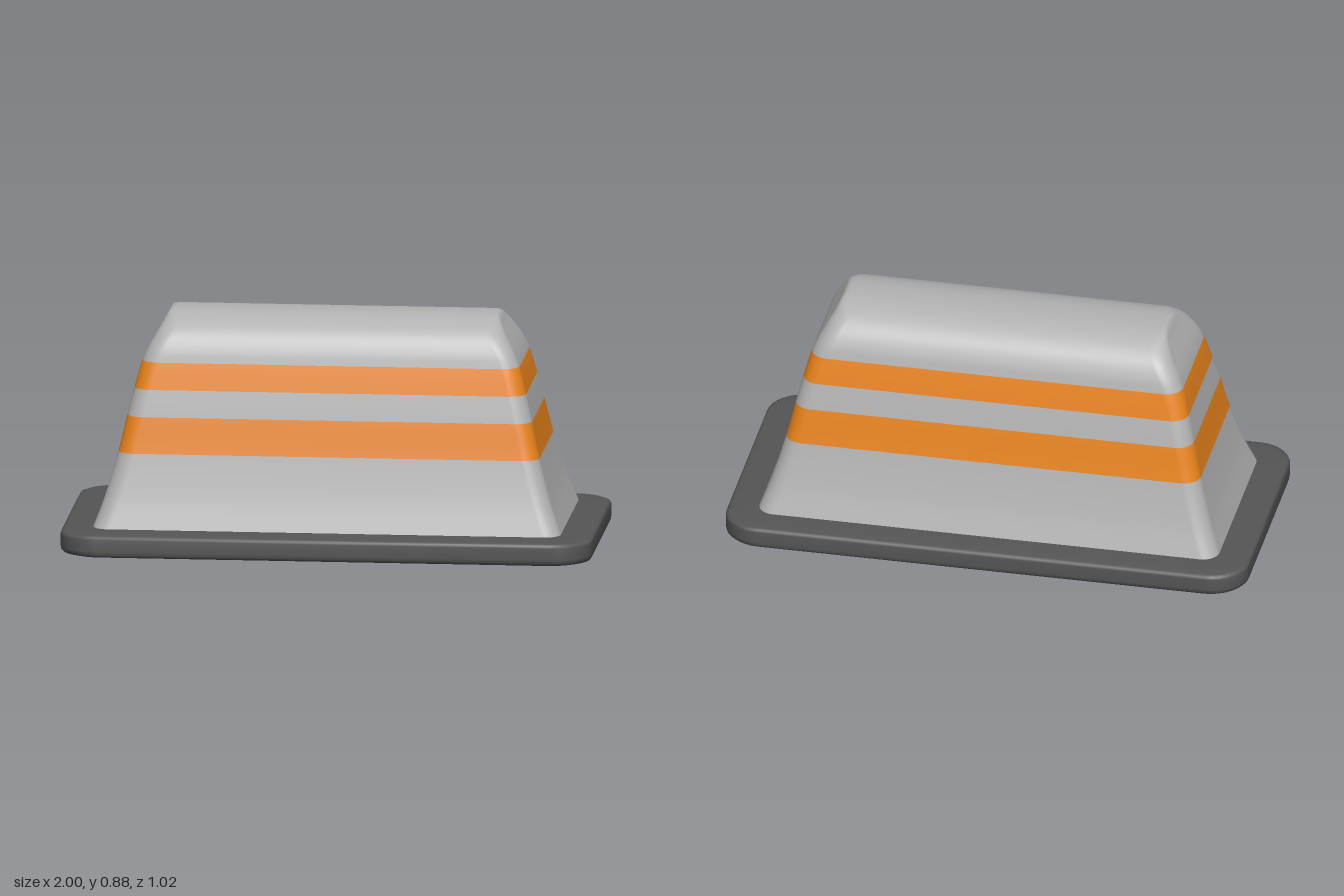
import * as THREE from 'three';

const CORNER_STEPS = 8;
const LOOP = 4 * (CORNER_STEPS + 1);

// Rounded-rectangle loop of half-extents hx, hz at height y, as [x, y, z] points
function ring(hx, y, hz, radius) {
  const r = Math.min(radius, hz * 0.4, hx * 0.4);
  const pts = [];
  for (let c = 0; c < 4; c++) {
    const sx = c === 0 || c === 3 ? 1 : -1;
    const sz = c < 2 ? 1 : -1;
    for (let i = 0; i <= CORNER_STEPS; i++) {
      const a = (c + i / CORNER_STEPS) * Math.PI / 2;
      pts.push([sx * (hx - r) + r * Math.cos(a), y, sz * (hz - r) + r * Math.sin(a)]);
    }
  }
  return pts;
}

// Triangle indices joining rings from..to
function stripIndex(from, to) {
  const index = [];
  for (let j = from; j < to; j++) {
    for (let i = 0; i < LOOP; i++) {
      const n = (i + 1) % LOOP;
      const a = j * LOOP + i, b = j * LOOP + n;
      const c = a + LOOP, d = b + LOOP;
      index.push(a, c, b, b, c, d);
    }
  }
  return index;
}

// Smooth skin over rings given as [hx, y, hz]; a ring of zero width closes it
function loft(rows, radius) {
  const pos = rows.flatMap(([hx, y, hz]) => ring(hx, y, hz, radius).flat());
  const g = new THREE.BufferGeometry();
  g.setAttribute('position', new THREE.Float32BufferAttribute(pos, 3));
  g.setIndex(stripIndex(0, rows.length - 1));
  g.computeVertexNormals();
  rows.forEach(([, , hz], j) => {
    if (hz > 0) return;
    for (let i = 0; i < LOOP; i++) g.attributes.normal.setXYZ(j * LOOP + i, 0, j ? 1 : -1, 0);
  });
  return g;
}

export function createModel() {
  const group = new THREE.Group();
  const grey = new THREE.MeshStandardMaterial({ color: 0xb2b2b2 });
  const orange = new THREE.MeshStandardMaterial({ color: 0xe8831c });
  const dark = new THREE.MeshStandardMaterial({ color: 0x555555 });

  const add = (name, geometry, material) => {
    const mesh = new THREE.Mesh(geometry, material);
    mesh.name = name;
    group.add(mesh);
  };

  // Base plate: long groove, dished underside, rounded foot, outer wall, top face
  add('basePlate', loft([
    [0.7, 0.122, 0], [0.75, 0.12, 0.04], [0.775, 0.11, 0.07], [0.79, 0.093, 0.09],
    [0.8, 0.083, 0.105], [0.82, 0.08, 0.13], [0.85, 0.08, 0.37], [0.872, 0.08, 0.392],
    [0.88, 0.077, 0.4], [0.887, 0.068, 0.405], [0.905, 0.044, 0.422], [0.925, 0.02, 0.441],
    [0.945, 0.005, 0.46], [0.96, 0, 0.473], [0.98, 0, 0.492], [0.992, 0.004, 0.503],
    [0.998, 0.012, 0.509], [1, 0.025, 0.511], [1, 0.068, 0.511], [0.997, 0.078, 0.508],
    [0.987, 0.083, 0.498], [0.96, 0.086, 0.47], [0.9, 0.09, 0.42], [0.84, 0.091, 0.36],
  ], 0.14), dark);

  // Body profile: half-length, height, half-width
  const profile = [
    [0.882, 0.085, 0.404], [0.84, 0.2, 0.366], [0.793, 0.365, 0.324], [0.762, 0.5, 0.297],
    [0.737, 0.6, 0.274], [0.71, 0.7, 0.25], [0.688, 0.75, 0.235], [0.659, 0.8, 0.207],
    [0.638, 0.835, 0.167], [0.624, 0.86, 0.113], [0.61, 0.872, 0.055], [0.585, 0.875, 0],
  ];
  const SUB = 4;
  const last = profile.length - 1;
  const curve = new THREE.CatmullRomCurve3(profile.map((p) => new THREE.Vector3(...p)));
  const rows = curve.getPoints(last * SUB).map((p) => [p.x, p.y, p.z]);
  const body = loft(rows, 0.065);

  // Colour bands share the body's vertices so shading runs on across the seams
  const bands = [
    ['lowerBody', 0, 2, grey], ['lowerStripe', 2, 3, orange], ['middleBody', 3, 4, grey],
    ['upperStripe', 4, 5, orange], ['roundedTop', 5, last, grey],
  ];
  for (const [name, from, to, material] of bands) {
    const g = body.clone();
    g.setIndex(stripIndex(from * SUB, to * SUB));
    add(name, g, material);
  }
  return group;
}
